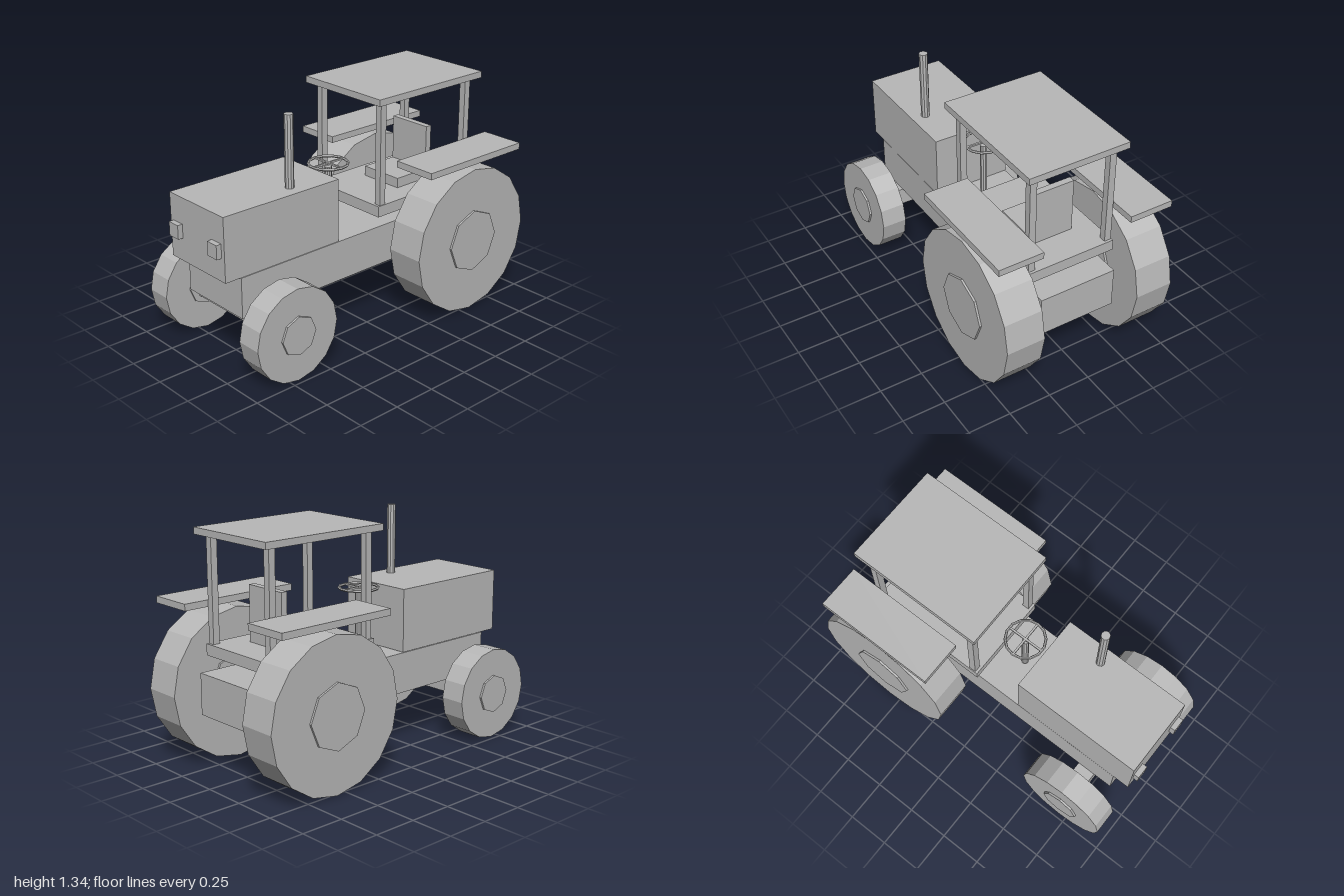
import * as THREE from 'three';

export function createModel() {
  const model = new THREE.Group();
  model.name = 'tractor';
  const grey = new THREE.MeshStandardMaterial({ color: 0xb8b8b8 });
  grey.name = 'plain grey';

  const add = (name, geometry, x = 0, y = 0, z = 0, parent = model) => {
    // Faceted normals on every part
    const flat = geometry.index ? geometry.toNonIndexed() : geometry;
    flat.computeVertexNormals();
    const mesh = new THREE.Mesh(flat, grey);
    mesh.name = name;
    mesh.position.set(x, y, z);
    parent.add(mesh);
    return mesh;
  };
  // Box given by its limits on each axis
  const box = (name, [x0, x1], [y0, y1], [z0, z1]) =>
    add(name, new THREE.BoxGeometry(x1 - x0, y1 - y0, z1 - z0),
      (x0 + x1) / 2, (y0 + y1) / 2, (z0 + z1) / 2);
  // The same box on both sides
  const pair = (name, [x0, x1], y, z) => {
    box(name + 'Left', [x0, x1], y, z);
    box(name + 'Right', [-x1, -x0], y, z);
  };

  // Body
  box('chassis', [-0.23, 0.23], [0.325, 0.56], [-0.87, 0.87]);
  box('hood', [-0.23, 0.23], [0.563, 0.927], [0.2, 0.97]);
  pair('headlight', [0.128, 0.205], [0.695, 0.775], [0.97, 1]);
  add('exhaustPipe', new THREE.CylinderGeometry(0.025, 0.025, 0.408, 10), 0.145, 1.131, 0.47);

  // Axles
  box('frontAxle', [-0.32, 0.32], [0.215, 0.322], [0.645, 0.755]);
  box('rearAxle', [-0.3, 0.3], [0.385, 0.487], [-0.615, -0.515]);

  // Wheels with hubs showing on both faces
  const wheel = (name, side, x, z, radius, width, hubRadius, hubWidth) => {
    const group = new THREE.Group();
    group.name = name;
    group.position.set(side * x, radius, z);
    const tyre = new THREE.CylinderGeometry(radius, radius, width, 16).rotateZ(Math.PI / 2);
    const hub = new THREE.CylinderGeometry(hubRadius, hubRadius, hubWidth, 8).rotateZ(Math.PI / 2);
    add('tyre', tyre, 0, 0, 0, group);
    add('hub', hub, 0, 0, 0, group);
    model.add(group);
  };
  for (const side of [1, -1]) {
    const label = side > 0 ? 'Left' : 'Right';
    wheel('rearWheel' + label, side, 0.407, -0.567, 0.433, 0.226, 0.185, 0.25);
    wheel('frontWheel' + label, side, 0.4, 0.7, 0.267, 0.148, 0.112, 0.172);
  }
  pair('fender', [0.267, 0.53], [0.902, 0.94], [-0.93, -0.2]);

  // Cab
  box('cabFloor', [-0.265, 0.265], [0.638, 0.702], [-0.8, -0.065]);
  pair('frontPost', [0.22, 0.26], [0.702, 1.297], [-0.12, -0.08]);
  pair('rearPost', [0.22, 0.26], [0.702, 1.297], [-0.785, -0.745]);
  box('roof', [-0.3, 0.3], [1.297, 1.335], [-0.835, -0.032]);
  box('seat', [-0.135, 0.135], [0.702, 0.76], [-0.605, -0.34]);
  box('seatBack', [-0.135, 0.135], [0.76, 1.02], [-0.605, -0.567]);

  // Steering
  add('steeringColumn', new THREE.CylinderGeometry(0.02, 0.02, 0.33, 10), 0, 0.737, 0.07);
  const steering = new THREE.Group();
  steering.name = 'steeringWheel';
  steering.position.set(0, 0.922, 0.07);
  model.add(steering);
  add('rim', new THREE.TorusGeometry(0.112, 0.008, 6, 14).rotateX(Math.PI / 2), 0, 0, 0, steering);
  add('crossSpoke', new THREE.BoxGeometry(0.22, 0.01, 0.012), 0, 0, 0, steering);
  add('longSpoke', new THREE.BoxGeometry(0.012, 0.01, 0.22), 0, 0, 0, steering);

  return model;
}
